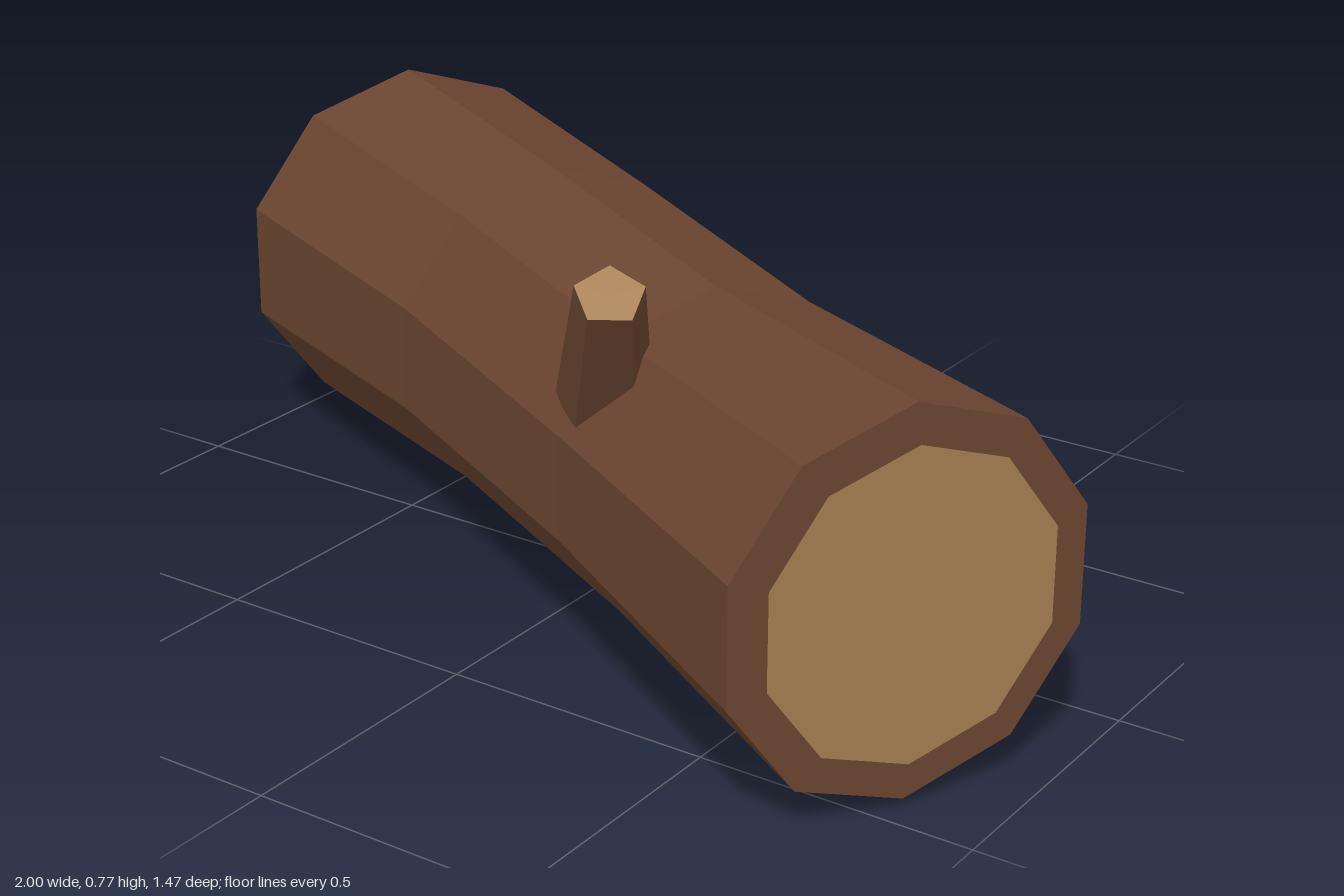
import * as THREE from 'three';

const bark = new THREE.MeshStandardMaterial({ color: 0x6b4530, flatShading: true });
bark.name = 'bark';
const wood = new THREE.MeshStandardMaterial({ color: 0xa67f52, flatShading: true });
wood.name = 'cut wood';

const LENGTH = 1.912, SIDES = 10;
// Cross-sections along the log: radius, and centre offset up (y) and sideways (z)
const RINGS = [
  { r: 0.354, y: 0.0, z: 0.0 },
  { r: 0.322, y: 0.006, z: -0.016 },
  { r: 0.309, y: -0.002, z: -0.007 },
  { r: 0.336, y: -0.001, z: 0.0 },
];

function part(name, geometry, material, parent) {
  const mesh = new THREE.Mesh(geometry, material);
  mesh.name = name;
  parent.add(mesh);
  return mesh;
}

// Ten-sided trunk lying along x, pinched toward the middle
function trunkGeometry() {
  const g = new THREE.CylinderGeometry(1, 1, LENGTH, SIDES, 3, false, Math.PI / 2);
  g.rotateZ(-Math.PI / 2);
  const p = g.attributes.position;
  for (let i = 0; i < p.count; i++) {
    const ring = RINGS[Math.round((p.getX(i) / LENGTH + 0.5) * 3)];
    p.setY(i, p.getY(i) * ring.r + ring.y);
    p.setZ(i, p.getZ(i) * ring.r + ring.z);
  }
  g.computeVertexNormals();
  return g;
}

// Flat ten-sided disc facing along +x or -x, with a corner at the top
function disc(radius, side) {
  const g = new THREE.CircleGeometry(radius, SIDES, Math.PI / 2);
  return g.rotateY(side * Math.PI / 2);
}

export function createModel() {
  const model = new THREE.Group();
  model.name = 'fallenLog';

  const log = new THREE.Group();
  log.name = 'log';
  log.position.set(0.004, 0.356, 0.005);
  log.rotation.y = -0.487;
  model.add(log);

  part('trunk', trunkGeometry(), bark, log);

  // Sawn faces, each with a growth ring in the middle
  for (const side of [-1, 1]) {
    const label = side > 0 ? 'left' : 'right';
    const x = side * (LENGTH / 2 + (side > 0 ? 0.012 : 0.006));
    const scale = side > 0 ? 1 : 1.04;
    part(label + 'CutFace', disc(0.27 * scale, side), wood, log).position.x = x;
    part(label + 'GrowthRing', disc(0.15 * scale, side), wood, log).position.x = x + side * 0.001;
  }

  // Broken-off branch leaning out of the upper front
  const length = 0.3;
  const branch = new THREE.Group();
  branch.name = 'branch';
  const direction = new THREE.Vector3(0.08, 0.2, 0.1).normalize();
  branch.quaternion.setFromUnitVectors(new THREE.Vector3(0, 1, 0), direction);
  branch.position.set(0.287, 0.738, 0.45).addScaledVector(direction, -length / 2);
  model.add(branch);
  part('branchBark', new THREE.CylinderGeometry(0.06, 0.085, length, 5, 1, true), bark, branch);
  const tip = new THREE.CircleGeometry(0.06, 5, -Math.PI / 2).rotateX(-Math.PI / 2);
  part('branchTip', tip, wood, branch).position.y = length / 2;

  return model;
}
